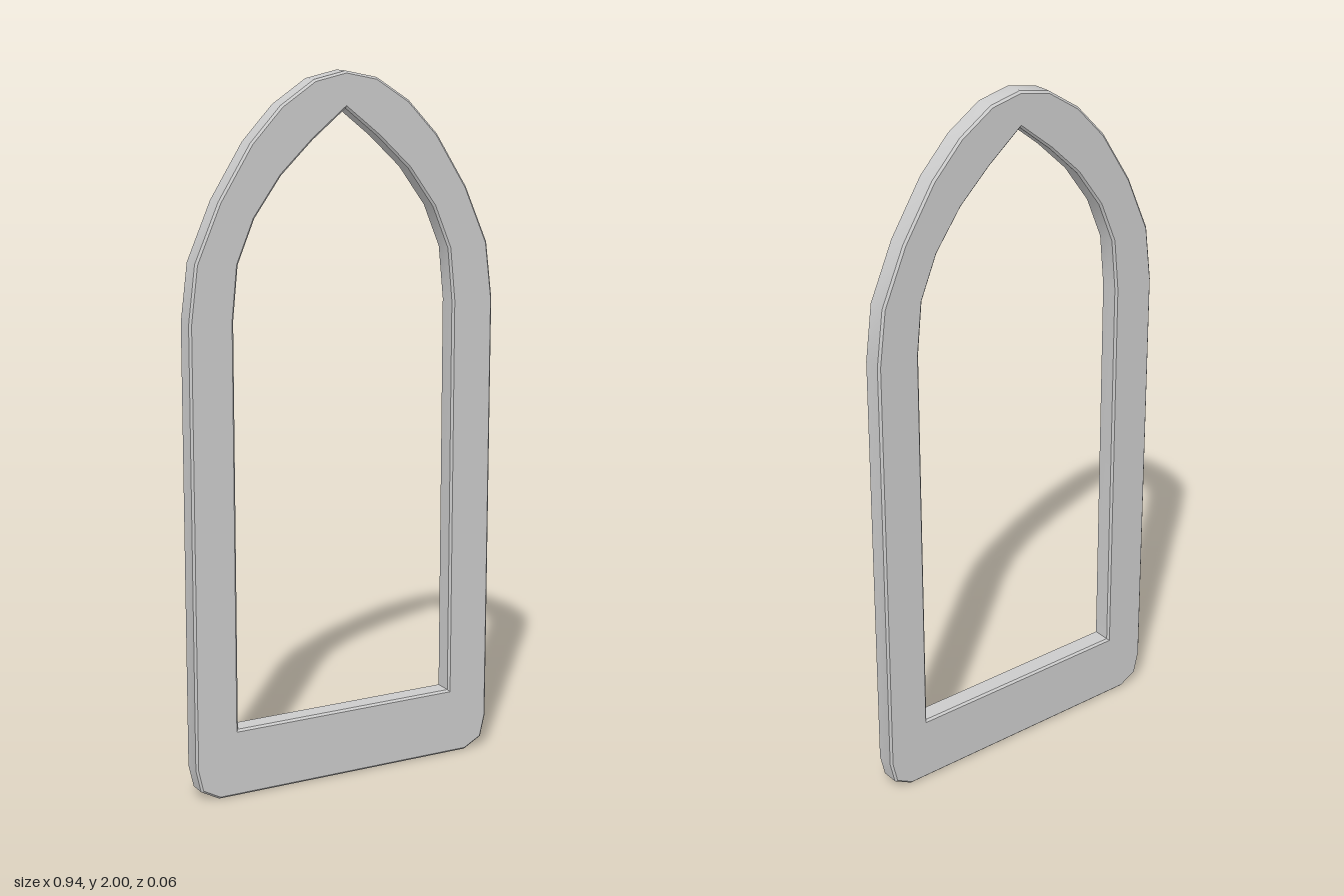
import * as THREE from 'three';
import { toCreasedNormals } from 'three/addons/utils/BufferGeometryUtils.js';

// Closed symmetric outline from its +x half, listed from bottom to top (last point on the axis)
function mirrored(half) {
  const left = half.slice(0, -1).reverse().map(([x, y]) => [-x, y]);
  return [...half, ...left].map(([x, y]) => new THREE.Vector2(x, y));
}

export function createModel() {
  const group = new THREE.Group();
  group.name = 'archedWindowFrame';

  // Outer edge: clipped bottom corners, straight jambs, rounded pointed arch
  const outer = mirrored([
    [0.40, 0], [0.455, 0.03], [0.47, 0.095], [0.47, 1.35], [0.45, 1.51],
    [0.38, 1.67], [0.285, 1.82], [0.195, 1.915], [0.095, 1.98], [0, 2],
  ]);
  // Opening: square sill corners and a sharp peak
  const opening = mirrored([
    [0.34, 0.195], [0.34, 1.35], [0.325, 1.50], [0.275, 1.62],
    [0.195, 1.73], [0.10, 1.82], [0, 1.90],
  ]);

  const shape = new THREE.Shape(outer);
  shape.holes.push(new THREE.Path(opening));

  // Thin slab with a fine bevel kept inside the outline
  const bevel = 0.006, depth = 0.062;
  const slab = new THREE.ExtrudeGeometry(shape, {
    depth: depth - 2 * bevel,
    bevelEnabled: true,
    bevelThickness: bevel,
    bevelSize: bevel,
    bevelOffset: -bevel,
    bevelSegments: 1,
  });
  slab.translate(0, 0, bevel - depth / 2);

  const frame = new THREE.Mesh(
    toCreasedNormals(slab, 0.55),
    new THREE.MeshStandardMaterial({ color: 0xcccccc })
  );
  frame.name = 'frame';
  group.add(frame);
  return group;
}
